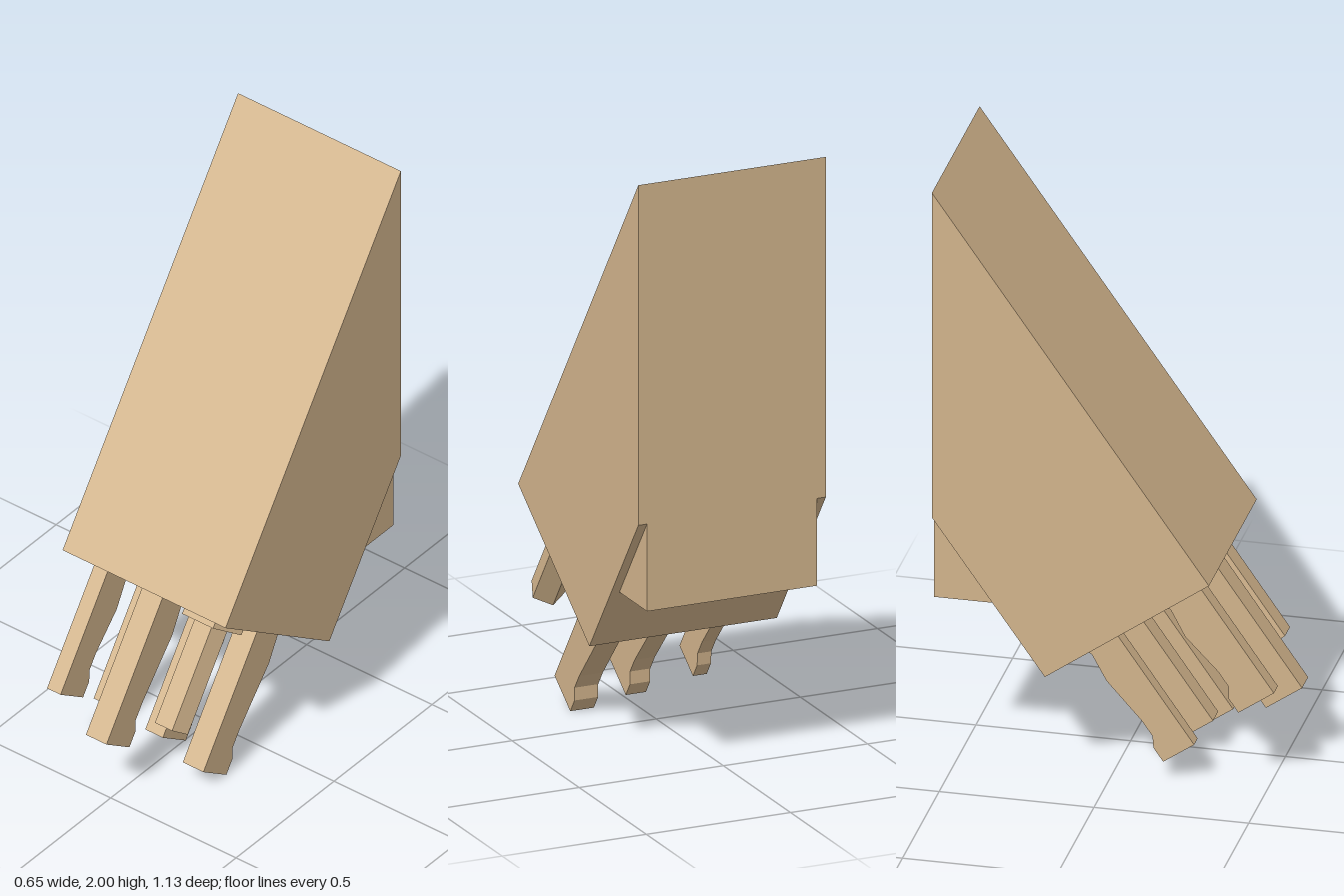
import * as THREE from 'three';

export function createModel() {
  const model = new THREE.Group();
  const material = new THREE.MeshStandardMaterial({ color: 0xd2b48c, flatShading: true });

  const add = (parent, name, geometry) => {
    const mesh = new THREE.Mesh(geometry, material);
    mesh.name = name;
    parent.add(mesh);
    return mesh;
  };

  // Extrudes a (z, y) side profile across x, centred on cx
  const sideExtrude = (points, width, cx = 0) => {
    const shape = new THREE.Shape(points.map(([z, y]) => new THREE.Vector2(z, y)));
    const geometry = new THREE.ExtrudeGeometry(shape, { depth: width, bevelEnabled: false });
    return geometry.rotateY(-Math.PI / 2).translate(cx + width / 2, 0, 0);
  };

  // Slanted square body, cut off vertically at the back
  add(model, 'body', sideExtrude([[0.33, 0.73], [-0.565, 2], [-0.565, 0.87], [-0.2, 0.355]], 0.65));

  // Narrower wedge under the back of the body
  add(model, 'rearWedge', sideExtrude([[-0.565, 0.88], [-0.565, 0.58], [-0.36, 0.58], [-0.35, 0.58]], 0.59));

  // Tilted frame on the lower face: -y runs out along the prongs, -z runs to the back
  const prongs = new THREE.Group();
  prongs.name = 'prongs';
  prongs.position.set(0, 0.73, 0.33);
  prongs.rotation.x = -THREE.MathUtils.degToRad(35);
  model.add(prongs);

  // Prong with a flat front, a waisted back and a thicker tip
  const prong = (name, x, width, s, depth, length) => {
    const back = [
      [1, length], [1, length - 0.055], [0.83, length - 0.09], [0.83, length - 0.15],
      [1, 0.13], [0.91, 0.03], [1.06, 0], [1.06, -0.01],
    ];
    const points = [[0, -0.01], [0, length], ...back.map(([f, t]) => [f * depth, t])];
    add(prongs, name, sideExtrude(points.map(([p, t]) => [-s - p, -t]), width, x));
  };
  prong('frontRightProng', -0.212, 0.054, 0.07, 0.14, 0.43);
  prong('frontMiddleProng', -0.007, 0.082, 0.07, 0.143, 0.51);
  prong('backRightProng', -0.228, 0.048, 0.394, 0.122, 0.449);
  prong('backMiddleProng', -0.003, 0.07, 0.394, 0.143, 0.467);
  prong('backLeftProng', 0.172, 0.082, 0.394, 0.143, 0.51);

  // Five-sided post with a wider collar at its base
  const pentagon = (name, radius, length) =>
    add(prongs, name, new THREE.CylinderGeometry(radius, radius, length, 5)
      .rotateY(Math.PI).translate(0.182, -length / 2, -0.155));
  pentagon('postCollar', 0.105, 0.03);
  pentagon('post', 0.058, 0.387);

  return model;
}
